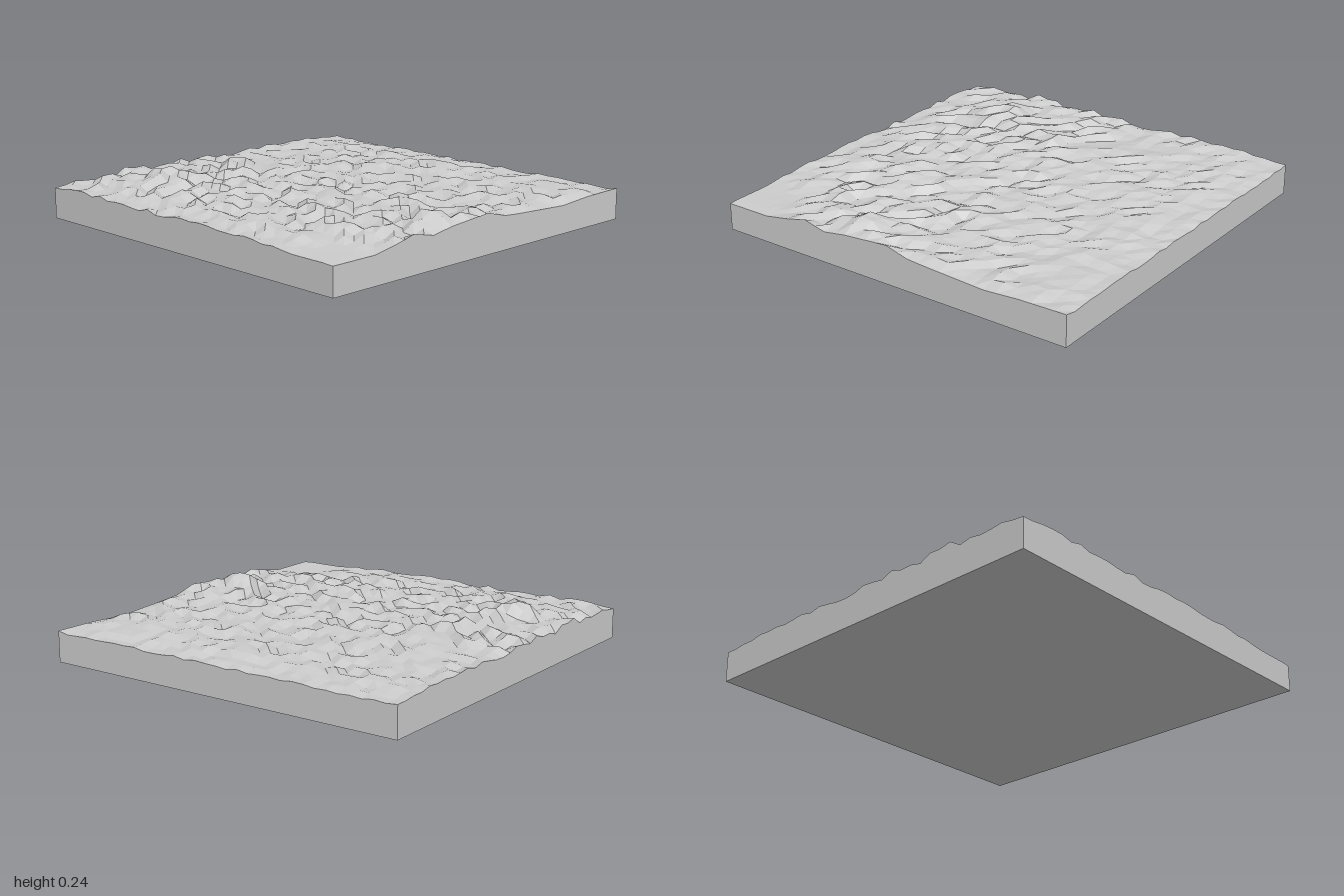
import * as THREE from 'three';

const CELLS = 32;

// Repeatable noise in -1..1 for a grid point
function noise(i, j) {
  const s = Math.sin(i * 127.1 + j * 311.7 + 4.2) * 43758.5453;
  return 2 * (s - Math.floor(s)) - 1;
}

// Broad rises and dips: x, z, radius x, radius z, height
const mounds = [
  [-0.25, 0.88, 0.08, 0.08, 0.06],
  [-0.15, 0.95, 0.25, 0.18, 0.025],
  [-0.56, -0.68, 0.1, 0.1, 0.045],
  [-0.5, -0.7, 0.4, 0.3, 0.02],
  [-0.35, 0.25, 0.35, 0.15, 0.016],
  [-0.05, -0.5, 0.4, 0.3, 0.01],
];

// Front edge profile: x, y
const frontEdge = [[-1, 0.14], [-0.75, 0.14], [-0.6, 0.165], [-0.5, 0.19], [-0.38, 0.16],
  [-0.25, 0.18], [-0.12, 0.19], [0, 0.2], [0.13, 0.165], [0.3, 0.155], [0.56, 0.142], [0.75, 0.155], [1, 0.16]];

function edgeHeight(x) {
  const k = Math.max(1, frontEdge.findIndex((p) => p[0] >= x - 1e-6));
  const [x0, y0] = frontEdge[k - 1];
  const [x1, y1] = frontEdge[k];
  return y0 + (y1 - y0) * (x - x0) / (x1 - x0);
}

function groundHeight(x, z) {
  const i = Math.round((x + 1) * CELLS / 2);
  const j = Math.round((z + 1) * CELLS / 2);
  if (j === CELLS) return edgeHeight(x);
  const sideFade = THREE.MathUtils.smoothstep(1 - Math.abs(x), 0, 0.25);
  const rough = (x < 0.1 ? 0.022 : 0.015) * (0.45 + 0.55 * sideFade);
  let y = 0.158 + 0.012 * sideFade - 0.004 * x + rough * noise(i, j);
  for (const [mx, mz, rx, rz, h] of mounds) {
    y += h * Math.exp(-(((x - mx) / rx) ** 2) - ((z - mz) / rz) ** 2);
  }
  // The front left corner is level
  const level = 1 - THREE.MathUtils.smoothstep(Math.hypot(x + 1, z - 1), 0.2, 0.55);
  return THREE.MathUtils.clamp(THREE.MathUtils.lerp(y, 0.143, level), 0.14, 0.28);
}

export function createModel() {
  const group = new THREE.Group();
  group.name = 'terrainTile';

  // Square slab whose upper vertices follow the ground
  const geometry = new THREE.BoxGeometry(2, 1, 2, CELLS, 1, CELLS);
  const pos = geometry.attributes.position;
  for (let v = 0; v < pos.count; v++) {
    pos.setY(v, pos.getY(v) > 0 ? groundHeight(pos.getX(v), pos.getZ(v)) : 0);
  }
  geometry.computeVertexNormals();

  const slab = new THREE.Mesh(geometry, new THREE.MeshStandardMaterial({ color: 0xcccccc, flatShading: true }));
  slab.name = 'rockyGround';
  group.add(slab);
  return group;
}
